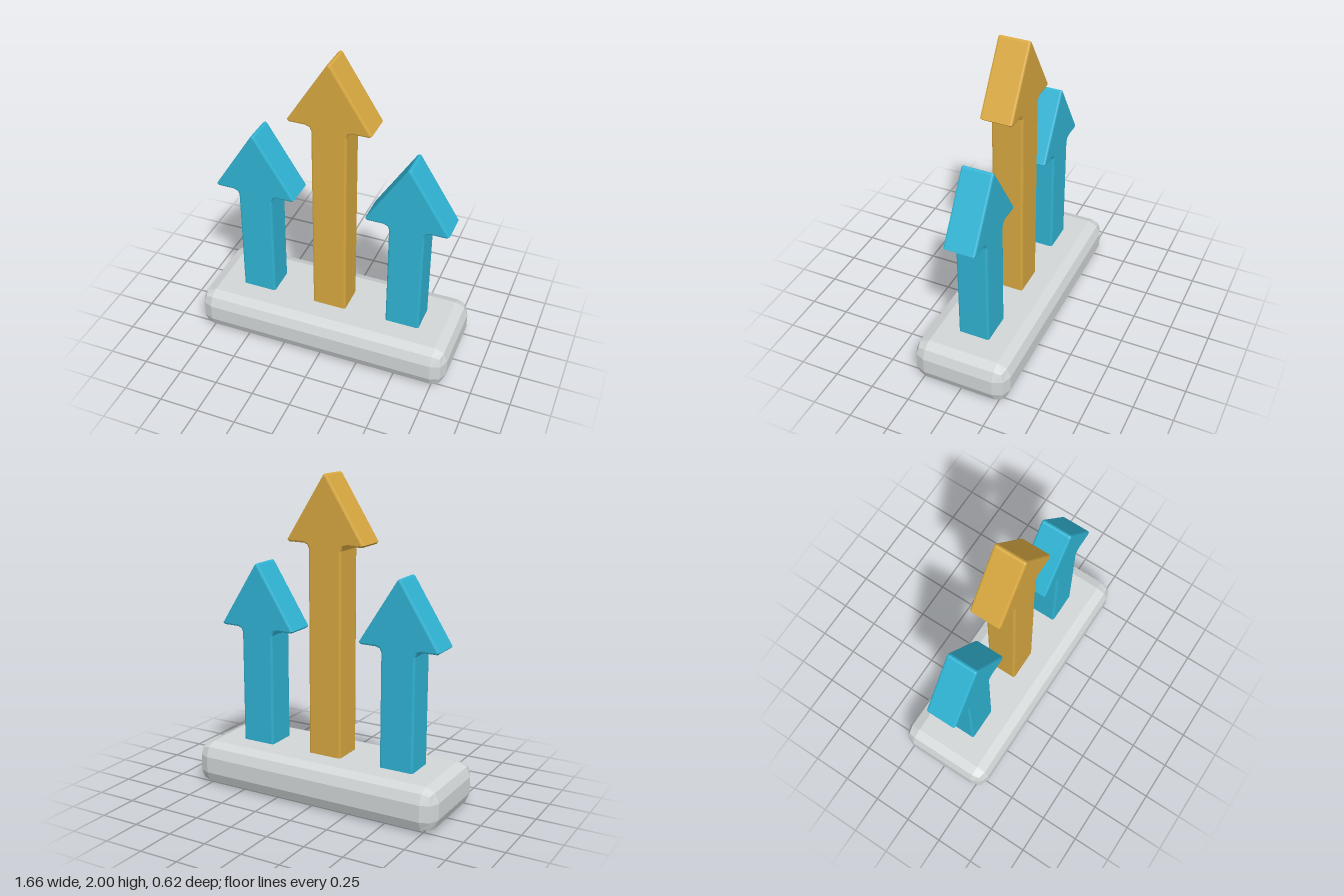
import * as THREE from 'three';
import { RoundedBoxGeometry } from 'three/addons/geometries/RoundedBoxGeometry.js';

const mat = (name, color, flatShading = false) =>
  Object.assign(new THREE.MeshStandardMaterial({ color, flatShading }), { name });

// Arrow outline: shaft, small fillet, barbed head with softened corners
function arrowGeometry(tip, foot) {
  const half = [
    [0.11, foot - tip], [0.11, -0.445], [0.12, -0.423], [0.145, -0.413],
    [0.246, -0.413], [0.261, -0.4], [0.012, -0.008],
  ];
  const points = [
    ...half.map(([x, y]) => new THREE.Vector2(x, tip + y)),
    new THREE.Vector2(0, tip),
    ...half.map(([x, y]) => new THREE.Vector2(-x, tip + y)).reverse(),
  ];
  const bevel = 0.012;
  const geo = new THREE.ExtrudeGeometry(new THREE.Shape(points), {
    depth: 0.2 - 2 * bevel,
    bevelEnabled: true,
    bevelSize: bevel,
    bevelThickness: bevel,
    bevelOffset: -bevel,
    bevelSegments: 2,
  });
  return geo.translate(0, 0, -0.1 + bevel);
}

export function createModel() {
  const model = new THREE.Group();
  model.name = 'arrowStand';
  const grey = mat('lightGrey', 0xd3d7d7, true);
  const gold = mat('gold', 0xd8a840);
  const teal = mat('teal', 0x30b4d4);

  const add = (name, geometry, material, x, y) => {
    const mesh = new THREE.Mesh(geometry, material);
    mesh.name = name;
    mesh.position.set(x, y, 0);
    model.add(mesh);
  };

  // Faceted plinth
  add('base', new RoundedBoxGeometry(1.665, 0.274, 0.625, 1, 0.085), grey, 0, 0.137);

  // Tall centre arrow and a matching pair at its sides
  add('centreArrow', arrowGeometry(2, 0.2), gold, 0, 0);
  const sideArrow = arrowGeometry(1.43, 0.2);
  add('leftArrow', sideArrow, teal, 0.49, 0);
  add('rightArrow', sideArrow, teal, -0.49, 0);
  return model;
}
